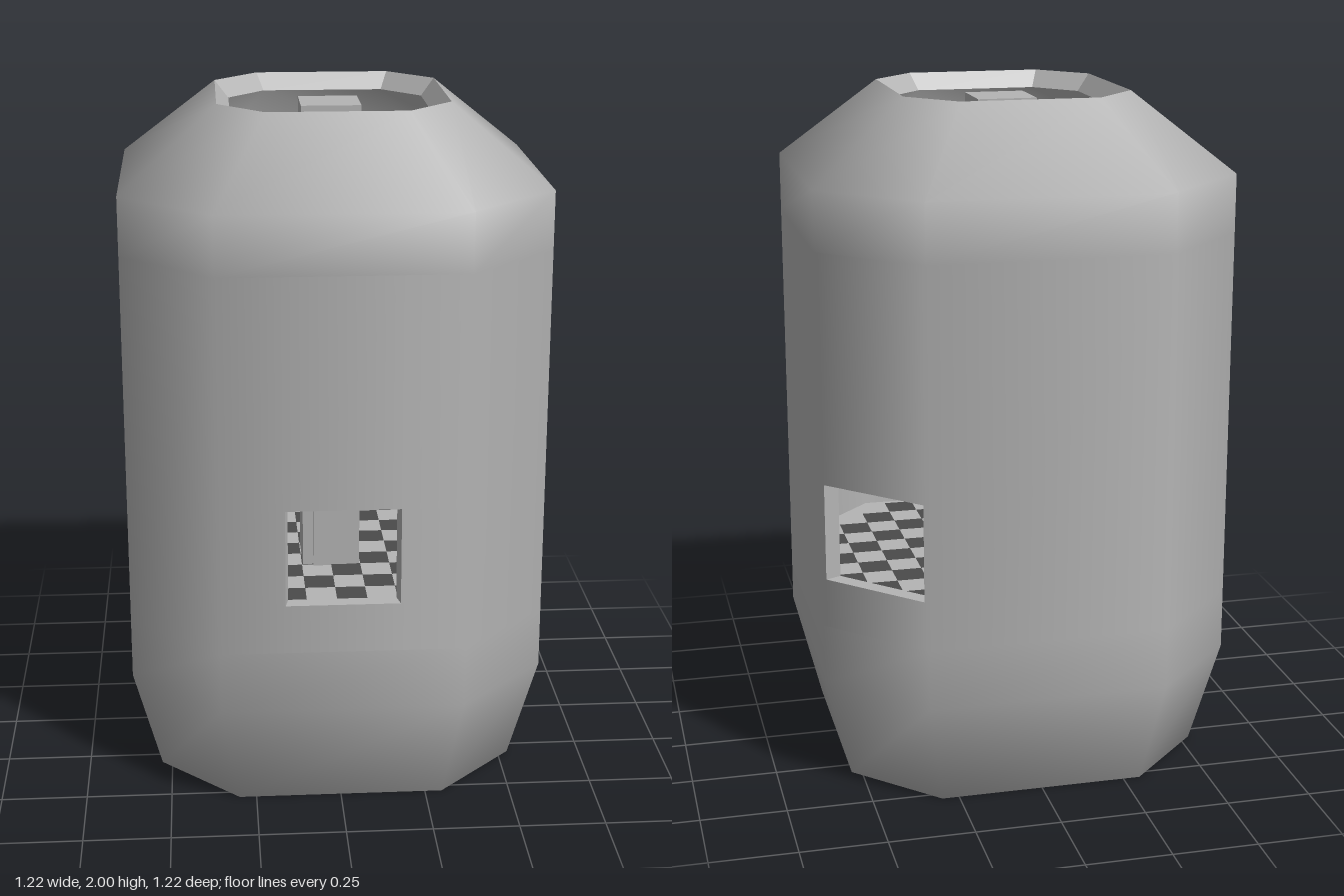
import * as THREE from 'three';

const material = (name, color) => Object.assign(new THREE.MeshStandardMaterial({ color }), { name });

// Eight corners of a chamfered rectangle, front left first, running round to the right
const octagon = (ax, az, cx, cz) => [[-cx, az], [cx, az], [ax, cz], [ax, -cz], [cx, -az], [-cx, -az], [-ax, -cz], [-ax, cz]];

// Ring: y, half width, half depth, corner x, corner z, vertical tilt of the normal
const outerRings = [
  [0, 0.53, 0.53, 0.3, 0.3, -0.6],
  [0.32, 0.61, 0.61, 0.35, 0.35, -0.14],
  [0.5, 0.61, 0.61, 0.35, 0.35, 0],
  [1.6, 0.61, 0.61, 0.35, 0.35, 0],
  [1.77, 0.61, 0.61, 0.35, 0.35, 0.42],
  [2, 0.33, 0.365, 0.2, 0.22, 1.2],
];
const innerRings = [
  [0.04, 0.485, 0.485, 0.28, 0.28, 0],
  [0.32, 0.565, 0.565, 0.331, 0.331, 0],
  [0.5, 0.565, 0.565, 0.331, 0.331, 0],
  [1.6, 0.565, 0.565, 0.331, 0.331, 0],
  [1.74, 0.565, 0.565, 0.331, 0.331, 0.2],
  [1.95, 0.29, 0.33, 0.18, 0.2, 0.5],
];

// Window span along the wall, keyed by side: 0 is the front, 3 the left rear chamfer
const windows = { 0: [0.267, 0.733], 3: [0.04, 0.96] };
const sill = 0.645, head = 0.93, windowBand = 2;

function ringPoints([y, ax, az, cx, cz]) {
  return octagon(ax, az, cx, cz).map(([x, z]) => new THREE.Vector3(x, y, z));
}

function ringNormals(tilt) {
  return Array.from({ length: 8 }, (_, i) => {
    const a = (i - 0.5) * Math.PI / 4;
    return new THREE.Vector3(Math.sin(a), tilt, Math.cos(a)).normalize();
  });
}

// Collects quads, given as four corners and four normals
function quadBuilder() {
  const pos = [], nor = [];
  return {
    add(p, n, flip) {
      for (const k of flip ? [0, 2, 1, 0, 3, 2] : [0, 1, 2, 0, 2, 3]) {
        pos.push(...p[k].toArray());
        nor.push(...n[k].clone().multiplyScalar(flip ? -1 : 1).toArray());
      }
    },
    build() {
      const g = new THREE.BufferGeometry();
      g.setAttribute('position', new THREE.Float32BufferAttribute(pos, 3));
      g.setAttribute('normal', new THREE.Float32BufferAttribute(nor, 3));
      return g;
    },
  };
}

// Smooth eight-sided wall with window openings
function shellGeometry(rings, inward) {
  const quads = quadBuilder();
  for (let r = 0; r + 1 < rings.length; r++) {
    const lo = rings[r], hi = rings[r + 1];
    const P = [ringPoints(lo), ringPoints(hi)], N = [ringNormals(lo[5]), ringNormals(hi[5])];
    for (let i = 0; i < 8; i++) {
      const j = (i + 1) % 8;
      const mix = (A, u, v) => A[0][i].clone().lerp(A[0][j], u).lerp(A[1][i].clone().lerp(A[1][j], u), v);
      const open = r === windowBand && windows[i];
      const us = open ? [0, ...open, 1] : [0, 1];
      const vs = open ? [0, (sill - lo[0]) / (hi[0] - lo[0]), (head - lo[0]) / (hi[0] - lo[0]), 1] : [0, 1];
      for (let a = 0; a + 1 < us.length; a++) for (let b = 0; b + 1 < vs.length; b++) {
        if (open && a === 1 && b === 1) continue;
        const c = [[us[a], vs[b]], [us[a + 1], vs[b]], [us[a + 1], vs[b + 1]], [us[a], vs[b + 1]]];
        quads.add(c.map(q => mix(P, ...q)), c.map(q => mix(N, ...q).normalize()), inward);
      }
    }
  }
  return quads.build();
}

// Flat quad with its own face normal
function addFlat(quads, a, b, c, d) {
  const n = b.clone().sub(a).cross(c.clone().sub(a)).normalize();
  quads.add([a, b, c, d], [n, n, n, n], false);
}

// Window reveals joining the outer and inner walls
function revealGeometry(side) {
  const quads = quadBuilder(), [u0, u1] = windows[side];
  const corners = ring => {
    const p = ringPoints(ring);
    return [[u0, sill], [u1, sill], [u1, head], [u0, head]].map(([u, y]) =>
      p[side].clone().lerp(p[(side + 1) % 8], u).setY(y));
  };
  const o = corners(outerRings[2]), n = corners(innerRings[2]);
  for (let k = 0; k < 4; k++) {
    const m = (k + 1) % 4;
    addFlat(quads, o[k], o[m], n[m], n[k]);
  }
  return quads.build();
}

function lipGeometry() {
  const quads = quadBuilder(), o = ringPoints(outerRings[5]), n = ringPoints(innerRings[5]);
  for (let i = 0; i < 8; i++) addFlat(quads, o[i], o[(i + 1) % 8], n[(i + 1) % 8], n[i]);
  return quads.build();
}

// Flat horizontal octagonal slab, its top at y
function slabGeometry(y, thickness, ...size) {
  const shape = new THREE.Shape(octagon(...size).map(([x, z]) => new THREE.Vector2(x, -z)));
  const g = new THREE.ExtrudeGeometry(shape, { depth: thickness, bevelEnabled: false });
  return g.rotateX(-Math.PI / 2).translate(0, y - thickness, 0);
}

// Dark tiles of a chequered surface at height y
function tileGeometry(y, down) {
  const quads = quadBuilder(), t = 0.09;
  const inside = (x, z) => Math.abs(x) < 0.57 && Math.abs(z) < 0.57 && Math.abs(x) + Math.abs(z) < 0.9;
  for (let k = -7; k < 7; k++) for (let j = -7; j < 7; j++) {
    if ((k + j) % 2 === 0) continue;
    const c = [[k, j + 1], [k + 1, j + 1], [k + 1, j], [k, j]].map(([a, b]) => new THREE.Vector3(a * t, y, b * t));
    if (!c.every(p => inside(p.x, p.z))) continue;
    if (down) c.reverse();
    addFlat(quads, ...c);
  }
  return quads.build();
}

export function createModel() {
  const model = new THREE.Group();
  model.name = 'tower';
  const grey = material('grey', 0xb4b4b4);
  const dark = material('dark tile', 0x4a4a4a);
  const add = (name, geometry, mat = grey) => {
    const mesh = new THREE.Mesh(geometry, mat);
    mesh.name = name;
    model.add(mesh);
  };
  const box = (name, x0, x1, y0, y1, z0, z1) => add(name,
    new THREE.BoxGeometry(x1 - x0, y1 - y0, z1 - z0).translate((x0 + x1) / 2, (y0 + y1) / 2, (z0 + z1) / 2));

  // Hollow shell
  add('outerWall', shellGeometry(outerRings, false));
  add('innerWall', shellGeometry(innerRings, true));
  add('topLip', lipGeometry());
  add('frontWindowReveal', revealGeometry(0));
  add('rearWindowReveal', revealGeometry(3));
  add('base', slabGeometry(0.04, 0.04, 0.53, 0.53, 0.3, 0.3));

  // Chequered floors of the two rooms
  const room = [0.565, 0.565, 0.331, 0.331];
  add('lowerFloor', slabGeometry(0.55, 0.03, ...room));
  add('lowerFloorTiles', tileGeometry(0.553, false), dark);
  add('upperFloor', slabGeometry(1.09, 0.03, ...room));
  add('upperFloorTiles', tileGeometry(1.093, false), dark);
  add('ceilingTiles', tileGeometry(1.057, true), dark);
  add('upperPlatform', slabGeometry(1.12, 0.03, 0.28, 0.3, 0.16, 0.17));

  // Central column and the cabinet behind it on each floor
  box('column', -0.087, 0.087, 0.55, 1.97, -0.09, 0.085);
  for (const y of [0.55, 1.12]) {
    box('columnPlate', -0.055, 0.05, y, y + 0.3, -0.097, 0.092);
    box('cabinetNeck', -0.04, 0.04, y, y + 0.3, -0.125, -0.09);
    box('cabinet', -0.07, 0.075, y, y + 0.4, -0.195, -0.12);
  }
  return model;
}
